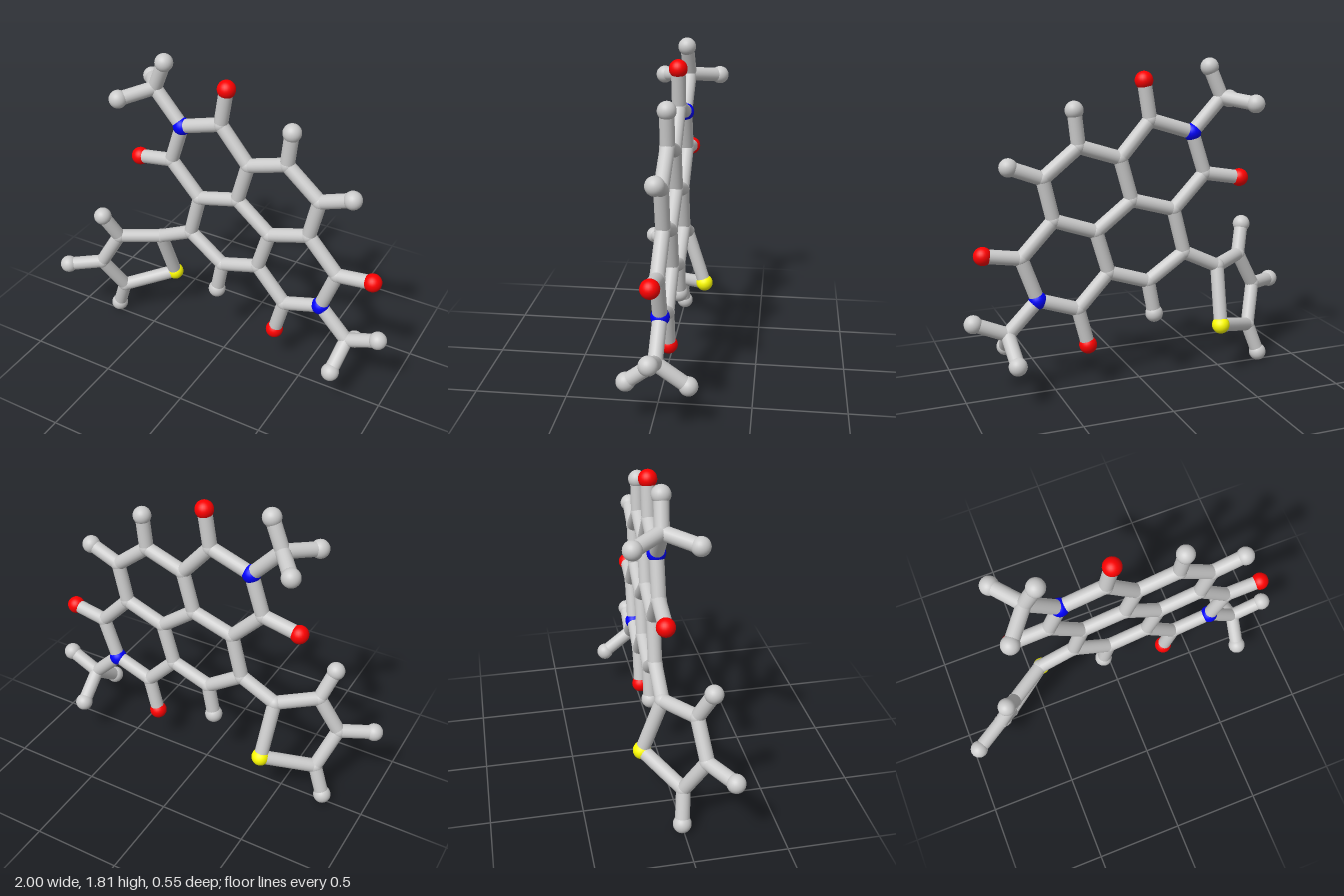
import * as THREE from 'three';

const ATOM_RADIUS = 0.05, BOND_RADIUS = 0.039;

const COLORS = { carbon: 0xcccccc, hydrogen: 0xcccccc, oxygen: 0xff0000, nitrogen: 0x0000ff, sulfur: 0xffff00 };

// the fused rings lie in one slightly turned plane
const flat = (x, y) => [x, y, -0.045 + 0.033 * x];

// id: [element, position]
const ATOMS = {
  // fused ring core
  c1: ['carbon', flat(0.125, 1.29)], c2: ['carbon', flat(0.355, 1.365)], c3: ['carbon', flat(0.552, 1.205)],
  c4: ['carbon', flat(0.5, 0.976)], c5: ['carbon', flat(0.264, 0.896)], c6: ['carbon', flat(0.06, 1.056)],
  c7: ['carbon', flat(-0.184, 0.987)], c8: ['carbon', flat(-0.248, 0.736)],
  c9: ['carbon', flat(-0.035, 0.587)], c10: ['carbon', flat(0.195, 0.661)],
  h2: ['hydrogen', flat(0.376, 1.557)], h3: ['hydrogen', flat(0.733, 1.275)], h9: ['hydrogen', flat(-0.072, 0.395)],
  // upper imide ring
  u1: ['carbon', flat(-0.045, 1.488)], uN: ['nitrogen', flat(-0.29, 1.41)], u2: ['carbon', flat(-0.365, 1.179)],
  uO1: ['oxygen', flat(-0.01, 1.7)], uO2: ['oxygen', flat(-0.579, 1.141)],
  // lower imide ring
  l1: ['carbon', flat(0.68, 0.784)], lN: ['nitrogen', flat(0.595, 0.544)], l2: ['carbon', flat(0.371, 0.469)],
  lO1: ['oxygen', flat(0.883, 0.816)], lO2: ['oxygen', flat(0.317, 0.256)],
  // upper methyl
  um: ['carbon', [-0.46, 1.595, -0.062]], umA: ['hydrogen', [-0.39, 1.76, -0.052]],
  umB: ['hydrogen', [-0.59, 1.565, 0.1]], umC: ['hydrogen', [-0.585, 1.57, -0.226]],
  // lower methyl
  lm: ['carbon', [0.765, 0.37, -0.022]], lmA: ['hydrogen', [0.947, 0.448, -0.014]],
  lmB: ['hydrogen', [0.744, 0.247, 0.132]], lmC: ['hydrogen', [0.754, 0.247, -0.188]],
  // twisted five-sided ring
  t1: ['carbon', [-0.456, 0.635, -0.055]], t2: ['carbon', [-0.659, 0.65, 0.085]],
  t3: ['carbon', [-0.776, 0.443, 0.115]], t4: ['carbon', [-0.696, 0.229, 0.01]],
  tS: ['sulfur', [-0.435, 0.315, -0.162]],
  t2H: ['hydrogen', [-0.714, 0.811, 0.155]], t3H: ['hydrogen', [-0.948, 0.427, 0.22]],
  t4H: ['hydrogen', [-0.76, 0.052, -0.008]],
};

// chains of bonded atoms
const CHAINS = [
  'c1 c2 c3 c4 c5 c6 c1', 'c6 c7 c8 c9 c10 c5', 'c2 h2', 'c3 h3', 'c9 h9',
  'c1 u1 uN u2 c7', 'u1 uO1', 'u2 uO2', 'uN um umA', 'umB um umC',
  'c4 l1 lN l2 c10', 'l1 lO1', 'l2 lO2', 'lN lm lmA', 'lmB lm lmC',
  'c8 t1 t2 t3 t4 tS t1', 't2 t2H', 't3 t3H', 't4 t4H',
];

export function createModel() {
  const model = new THREE.Group();
  model.name = 'molecule';
  const atoms = new THREE.Group();
  atoms.name = 'atoms';
  const bonds = new THREE.Group();
  bonds.name = 'bonds';
  model.add(atoms, bonds);

  const materials = {};
  for (const [element, color] of Object.entries(COLORS)) {
    materials[element] = new THREE.MeshStandardMaterial({ color });
  }

  // atom balls; carbon ones just round off the stick joints
  const ball = new THREE.SphereGeometry(ATOM_RADIUS, 24, 16);
  const joint = new THREE.SphereGeometry(BOND_RADIUS + 0.003, 24, 16);
  for (const [element, position] of Object.values(ATOMS)) {
    const atom = new THREE.Mesh(element === 'carbon' ? joint : ball, materials[element]);
    atom.name = element + 'Atom';
    atom.position.set(...position);
    atoms.add(atom);
  }

  // bond sticks
  const stick = new THREE.CylinderGeometry(BOND_RADIUS, BOND_RADIUS, 1, 20, 1, true);
  const up = new THREE.Vector3(0, 1, 0);
  for (const chain of CHAINS) {
    const points = chain.split(' ').map((id) => new THREE.Vector3(...ATOMS[id][1]));
    for (let i = 1; i < points.length; i++) {
      const along = points[i].clone().sub(points[i - 1]);
      const bond = new THREE.Mesh(stick, materials.carbon);
      bond.name = 'bond';
      bond.scale.y = along.length();
      bond.position.copy(points[i]).add(points[i - 1]).multiplyScalar(0.5);
      bond.quaternion.setFromUnitVectors(up, along.normalize());
      bonds.add(bond);
    }
  }
  return model;
}
